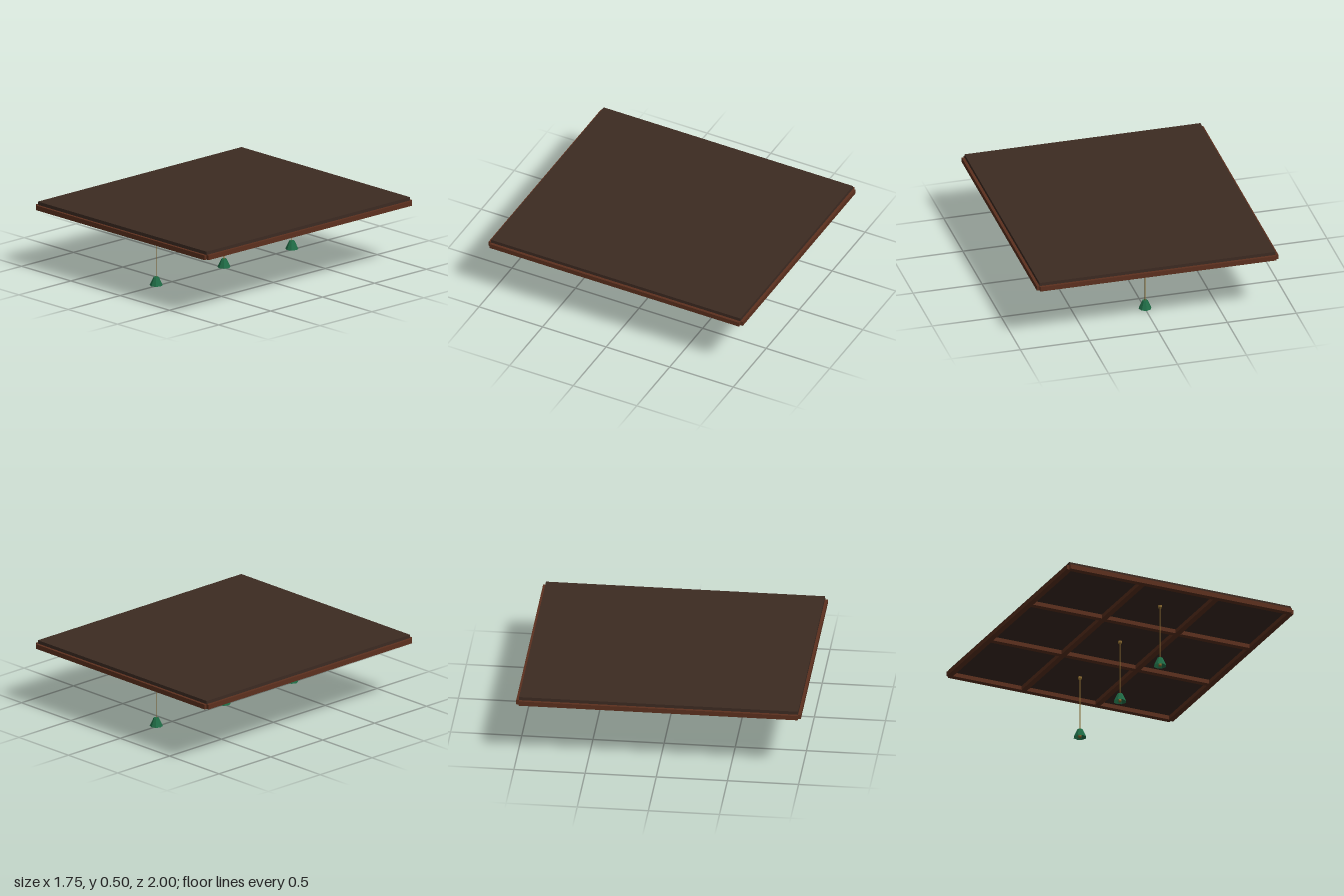
import * as THREE from 'three';

const mat = (name, color, side = THREE.FrontSide) =>
  new THREE.MeshStandardMaterial({ name, color, side, flatShading: true });

export function createModel() {
  const darkWood = mat('darkWood', 0x3d2b22);
  const redWood = mat('redWood', 0x5c301e);
  const brass = mat('brass', 0x8a6a30);
  const green = mat('greenGlass', 0x1f6b45, THREE.DoubleSide);

  const model = new THREE.Group();
  model.name = 'cofferedCeiling';

  const add = (parent, name, geometry, material, x, y, z) => {
    const mesh = new THREE.Mesh(geometry, material);
    mesh.name = name;
    mesh.position.set(x, y, z);
    parent.add(mesh);
    return mesh;
  };

  // Ceiling slab
  const W = 1.71, D = 1.96, beam = 0.04, beamH = 0.034, beamY = 0.457;
  add(model, 'ceilingSlab', new THREE.BoxGeometry(W, 0.028, D), darkWood, 0, 0.484, 0);

  // Border and inner beams: a three by three grid of coffers
  for (let i = 0; i < 4; i++) {
    const t = i / 3 - 0.5;
    add(model, 'lengthBeam', new THREE.BoxGeometry(beam, beamH, D), redWood, t * W, beamY, 0);
    add(model, 'crossBeam', new THREE.BoxGeometry(W, beamH, beam), redWood, 0, beamY, t * D);
  }

  // Row of pendant lamps
  for (const z of [-0.653, 0, 0.653]) {
    const lamp = new THREE.Group();
    lamp.name = 'pendantLamp';
    lamp.position.z = z;
    add(lamp, 'canopy', new THREE.CylinderGeometry(0.016, 0.016, 0.016, 8), brass, 0, 0.462, 0);
    add(lamp, 'cord', new THREE.CylinderGeometry(0.0025, 0.0025, 0.4, 6), brass, 0, 0.262, 0);
    add(lamp, 'shade', new THREE.CylinderGeometry(0.019, 0.046, 0.06, 8, 1, true), green, 0, 0.036, 0);
    add(lamp, 'shadeCap', new THREE.CircleGeometry(0.019, 8), green, 0, 0.066, 0).rotation.x = -Math.PI / 2;
    add(lamp, 'bulb', new THREE.SphereGeometry(0.013, 8, 6), brass, 0, 0.013, 0);
    model.add(lamp);
  }
  return model;
}
